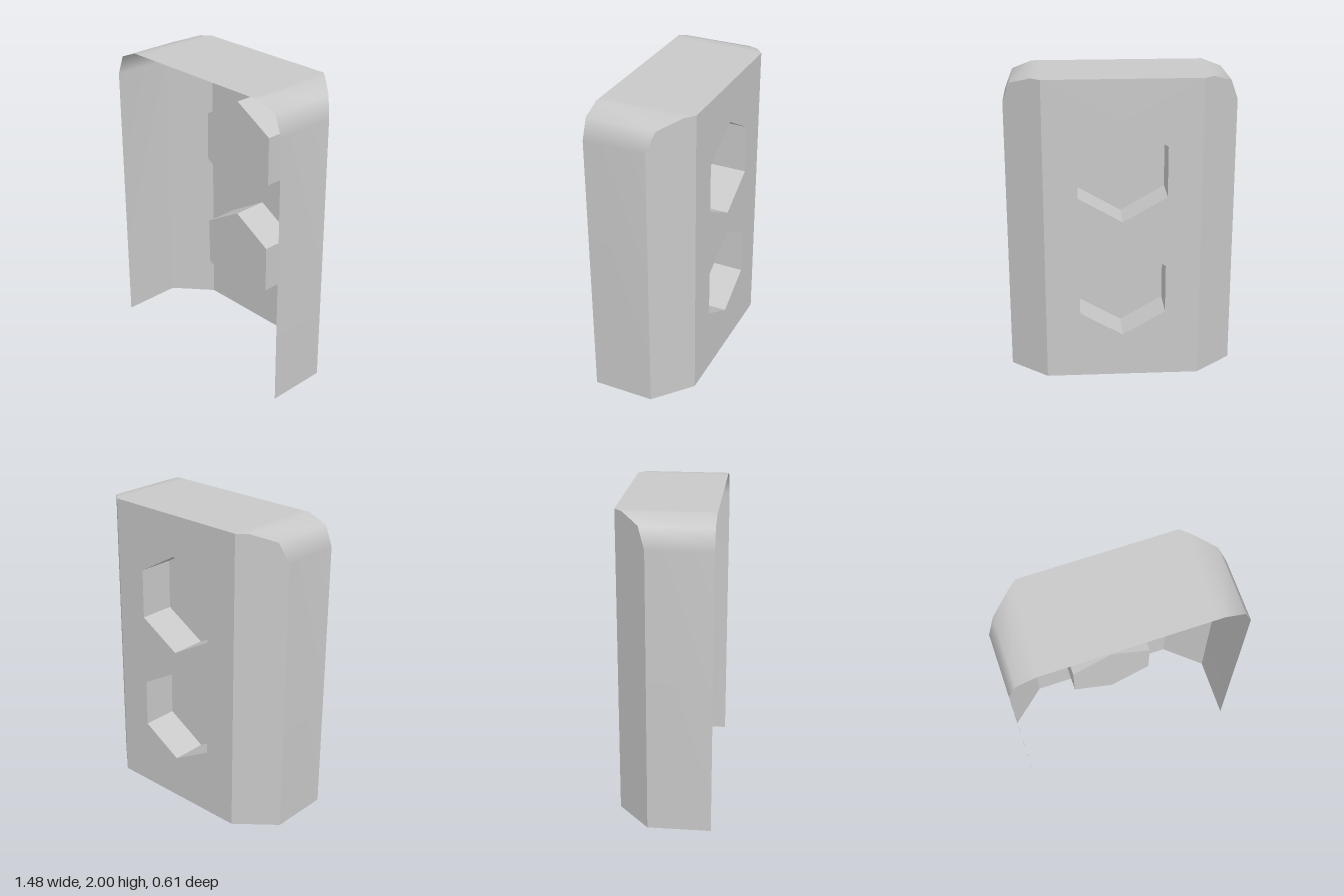
import * as THREE from 'three';

const BACK = -0.305, FRONT = 0.305, INNER = 0.5, OUTER = 0.74;

// Rear z of the housing at a given x: flat in the middle, chamfered at the sides
const rearZ = (x) => BACK + Math.max(0, Math.abs(x) - INNER) * (0.207 / (OUTER - INNER));

// Right half of the outline, bottom to top
const HALF = [[OUTER, 0], [OUTER, 1.82], [0.69, 1.95], [0.56, 2], [INNER, 2]];

const POCKETS = [{ y: 1.407, r: 0.328 }, { y: 0.612, r: 0.321 }];
const DEPTH = 0.24;

function flat(geometry) {
  const g = geometry.index ? geometry.toNonIndexed() : geometry;
  g.computeVertexNormals();
  return g;
}

// Sides and roof as one smooth strip
function rimGeometry() {
  const outline = [...HALF, ...HALF.map(([x, y]) => [-x, y]).reverse()];
  const positions = [], index = [];
  outline.forEach(([x, y], i) => {
    positions.push(x, y, FRONT, x, y, rearZ(x));
    if (i < outline.length - 1) {
      const a = 2 * i;
      index.push(a, a + 1, a + 2, a + 1, a + 3, a + 2);
    }
  });
  const g = new THREE.BufferGeometry();
  g.setAttribute('position', new THREE.Float32BufferAttribute(positions, 3));
  g.setIndex(index);
  g.computeVertexNormals();
  return g;
}

// Slanted panel between the back and one side
function chamferGeometry(side) {
  const points = [[INNER, 0], ...HALF].map(([x, y]) => new THREE.Vector2(side * x, y));
  const g = new THREE.ShapeGeometry(new THREE.Shape(points));
  const p = g.attributes.position;
  for (let i = 0; i < p.count; i++) p.setZ(i, rearZ(p.getX(i)));
  return flat(g);
}

// Back panel with hexagonal openings
function backGeometry() {
  const shape = new THREE.Shape([[-INNER, 0], [INNER, 0], [INNER, 2], [-INNER, 2]]
    .map(([x, y]) => new THREE.Vector2(x, y)));
  for (const { y, r } of POCKETS) {
    const corners = [];
    for (let i = 0; i < 6; i++) {
      const a = Math.PI / 2 - i * Math.PI / 3;
      corners.push(new THREE.Vector2(r * Math.cos(a), y + r * Math.sin(a)));
    }
    shape.holes.push(new THREE.Path(corners));
  }
  return new THREE.ShapeGeometry(shape).translate(0, 0, BACK);
}

export function createModel() {
  const group = new THREE.Group();
  const grey = new THREE.MeshStandardMaterial({ color: 0xc8c8c8, side: THREE.DoubleSide });
  grey.name = 'light grey';

  const add = (name, geometry) => {
    const mesh = new THREE.Mesh(geometry, grey);
    mesh.name = name;
    group.add(mesh);
  };

  add('sidesAndRoof', rimGeometry());
  add('backPanel', backGeometry());
  add('leftChamfer', chamferGeometry(1));
  add('rightChamfer', chamferGeometry(-1));

  // Hexagonal pockets sunk in from the back
  POCKETS.forEach(({ y, r }, i) => {
    const label = i === 0 ? 'upperPocket' : 'lowerPocket';
    const wall = new THREE.CylinderGeometry(r, r, DEPTH, 6, 1, true);
    wall.rotateX(Math.PI / 2).translate(0, y, BACK + DEPTH / 2);
    add(label + 'Wall', flat(wall));
    const floor = new THREE.CircleGeometry(r, 6, Math.PI / 2);
    add(label + 'Floor', floor.translate(0, y, BACK + DEPTH));
  });

  return group;
}
